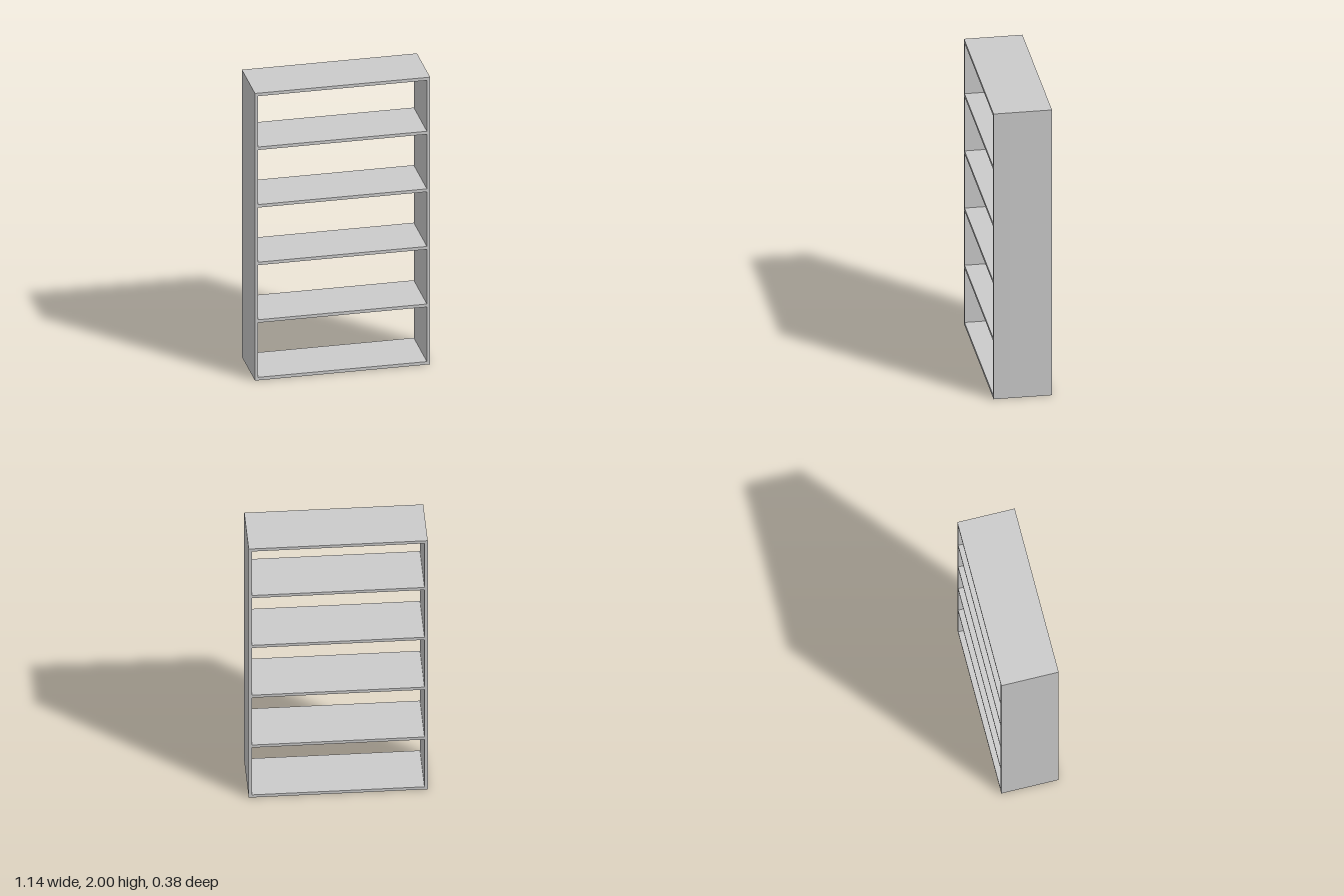
import * as THREE from 'three';

const WIDTH = 1.14, HEIGHT = 2, DEPTH = 0.376, BOARD = 0.021;
const SHELF_PITCH = 0.401;

export function createModel() {
  const group = new THREE.Group();
  group.name = 'bookcase';
  const material = new THREE.MeshStandardMaterial({ color: 0xcccccc, flatShading: true });

  function board(name, w, h, x, y) {
    const mesh = new THREE.Mesh(new THREE.BoxGeometry(w, h, DEPTH), material);
    mesh.name = name;
    mesh.position.set(x, y, 0);
    group.add(mesh);
  }

  // Full-height side panels
  const sideX = (WIDTH - BOARD) / 2;
  board('leftSide', BOARD, HEIGHT, sideX, HEIGHT / 2);
  board('rightSide', BOARD, HEIGHT, -sideX, HEIGHT / 2);

  // Boards between the sides: base, four shelves at an even pitch, and top
  const innerWidth = WIDTH - 2 * BOARD;
  board('base', innerWidth, BOARD, 0, BOARD / 2);
  for (let i = 1; i <= 4; i++) {
    board('shelf' + i, innerWidth, BOARD, 0, i * SHELF_PITCH + BOARD / 2);
  }
  board('top', innerWidth, BOARD, 0, HEIGHT - BOARD / 2);

  return group;
}
